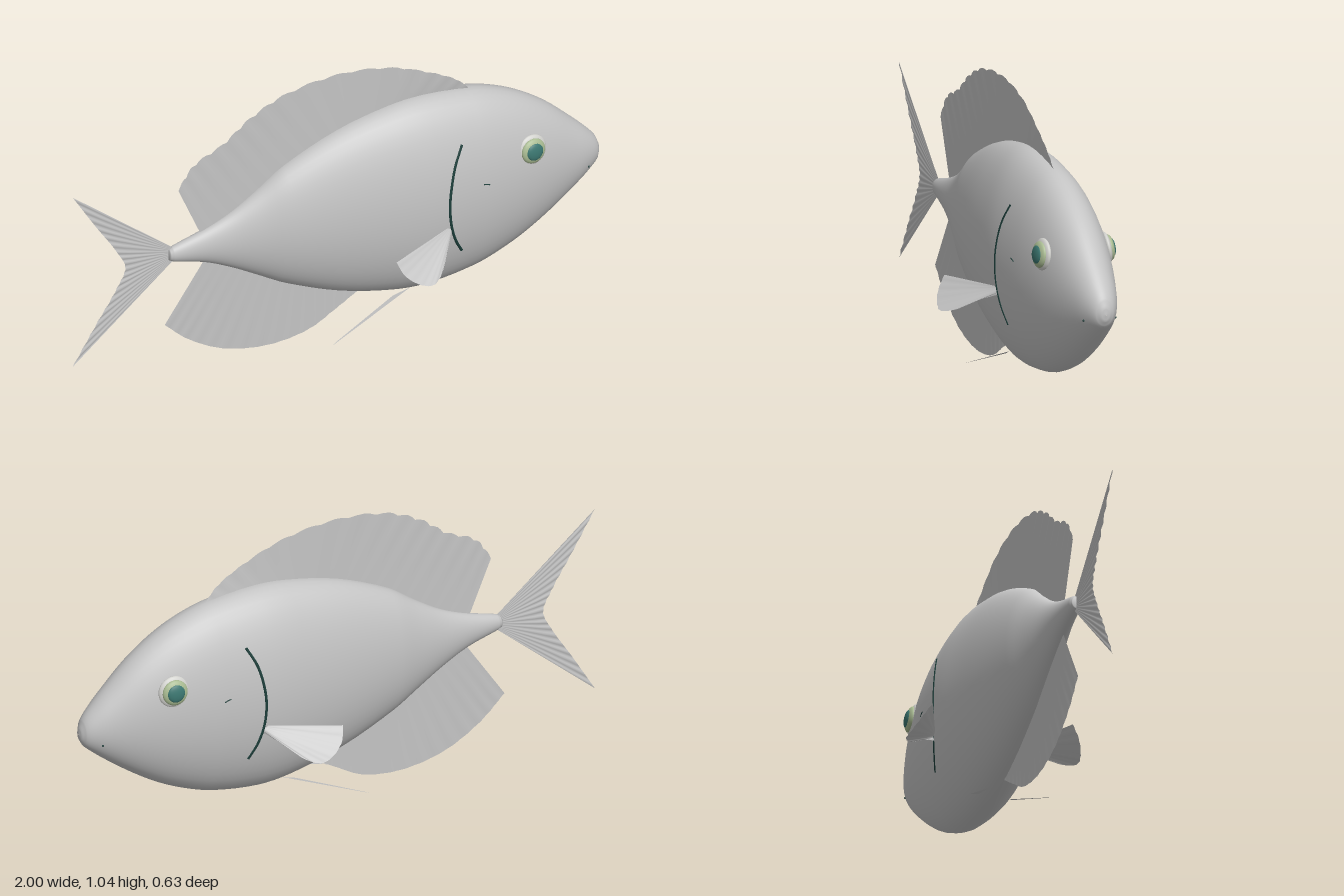
import * as THREE from 'three';

const mat = (name, color, side = THREE.FrontSide) => {
  const m = new THREE.MeshStandardMaterial({ color, side });
  m.name = name;
  return m;
};

// Body stations: x, top y, bottom y, half width
const STATIONS = [
  [-0.635, 0.505, 0.465, 0.015], [-0.62, 0.515, 0.457, 0.022], [-0.5, 0.55, 0.42, 0.036],
  [-0.4, 0.592, 0.37, 0.052], [-0.3, 0.655, 0.31, 0.077], [-0.2, 0.725, 0.25, 0.104],
  [0, 0.812, 0.162, 0.137], [0.2, 0.858, 0.109, 0.158], [0.33, 0.866, 0.098, 0.165],
  [0.5, 0.847, 0.12, 0.157], [0.6, 0.818, 0.153, 0.147], [0.7, 0.77, 0.2, 0.131],
  [0.8, 0.7, 0.263, 0.108], [0.9, 0.605, 0.337, 0.078], [0.95, 0.553, 0.378, 0.058],
  [0.985, 0.51, 0.41, 0.036], [0.997, 0.48, 0.432, 0.017], [1, 0.456, 0.454, 0.001],
];

// Smooth interpolation along x between stations
function section(x) {
  const n = STATIONS.length;
  let i = 0;
  while (i < n - 2 && x > STATIONS[i + 1][0]) i++;
  const a = STATIONS[i], b = STATIONS[i + 1], h = b[0] - a[0], t = (x - a[0]) / h;
  const slope = (j, k) => {
    const p = STATIONS[Math.max(j - 1, 0)], q = STATIONS[Math.min(j + 1, n - 1)];
    return (q[k] - p[k]) / (q[0] - p[0]);
  };
  return [1, 2, 3].map((k) => {
    if (i > n - 4 || i === 0) return a[k] + (b[k] - a[k]) * t;
    const t2 = t * t, t3 = t2 * t;
    return (2 * t3 - 3 * t2 + 1) * a[k] + (t3 - 2 * t2 + t) * h * slope(i, k)
      + (3 * t2 - 2 * t3) * b[k] + (t3 - t2) * h * slope(i + 1, k);
  });
}

// Half width of the body surface at a side point
function surfaceZ(x, y) {
  const [top, bottom, w] = section(x);
  const d = (y - (top + bottom) / 2) / ((top - bottom) / 2);
  return w * Math.sqrt(Math.max(0, 1 - d * d));
}

// Grid of points joined into a smooth surface
function loft(rows) {
  const cols = rows[0].length, pos = [], index = [];
  rows.forEach((row) => row.forEach((p) => pos.push(p[0], p[1], p[2])));
  for (let r = 0; r < rows.length - 1; r++) {
    for (let c = 0; c < cols - 1; c++) {
      const a = r * cols + c, b = a + cols;
      index.push(a, b, a + 1, b, b + 1, a + 1);
    }
  }
  const g = new THREE.BufferGeometry();
  g.setAttribute('position', new THREE.Float32BufferAttribute(pos, 3));
  g.setIndex(index);
  g.computeVertexNormals();
  return g;
}

// Elliptical rings from tail stem to snout; the ring seam runs along the belly
function bodyGeometry() {
  const rows = [], xs = [];
  for (let i = 0; i < STATIONS.length - 1; i++) {
    for (let k = 0; k < 4; k++) xs.push(STATIONS[i][0] + (STATIONS[i + 1][0] - STATIONS[i][0]) * k / 4);
  }
  xs.push(1);
  const first = section(xs[0]);
  rows.push(Array(49).fill([xs[0], (first[0] + first[1]) / 2, 0]));
  for (const x of xs) {
    const [top, bottom, w] = section(x), row = [];
    for (let j = 0; j <= 48; j++) {
      const a = j / 48 * Math.PI * 2;
      row.push([x, (top + bottom) / 2 - Math.cos(a) * (top - bottom) / 2, Math.sin(a) * w]);
    }
    rows.push(row);
  }
  return loft(rows);
}

const v3 = (p) => new THREE.Vector3(p[0], p[1], p[2] || 0);
const curve = (pts) => new THREE.CatmullRomCurve3(pts.map(v3), false, 'centripetal');

// Thin fin between a base curve and an outer edge, pleated along its rays
function finGeometry(base, edge, { rays = 20, pleat = 0.001, scallop = 0 } = {}) {
  const b = curve(base), e = curve(edge), rows = [];
  const n = rays * 4;
  for (let i = 0; i <= n; i++) {
    const t = i / n, p = b.getPoint(t), q = e.getPoint(t), row = [];
    const wave = Math.sin(t * rays * Math.PI * 2);
    q.lerp(p, scallop * (1 - Math.abs(Math.sin(t * rays * Math.PI))));
    for (let k = 0; k <= 5; k++) {
      const r = p.clone().lerp(q, k / 5);
      row.push([r.x, r.y, r.z + wave * pleat * k / 5]);
    }
    rows.push(row);
  }
  return loft(rows);
}

export function createModel() {
  const group = new THREE.Group();
  const skin = mat('skin grey', 0xc4c4c4);
  const fin = mat('fin grey', 0xc4c4c4, THREE.DoubleSide);
  const eyeRim = mat('eye rim', 0xd0d0cc);
  const iris = mat('iris green', 0xa9bb92);
  const pupil = mat('pupil teal', 0x3b7670);
  const dark = mat('dark teal', 0x1d3f3b);

  const add = (name, geometry, material, parent = group) => {
    const m = new THREE.Mesh(geometry, material);
    m.name = name;
    parent.add(m);
    return m;
  };

  add('body', bodyGeometry(), skin);

  // Fins on the centre line
  add('dorsalFin', finGeometry(
    [[-0.51, 0.53], [-0.3, 0.62], [-0.1, 0.74], [0.1, 0.81], [0.3, 0.84], [0.51, 0.83]],
    [[-0.6, 0.745], [-0.54, 0.83], [-0.43, 0.885], [-0.33, 0.96], [-0.2, 1.02], [0, 1.046],
      [0.2, 1.02, 0.004], [0.36, 0.955, 0.009], [0.46, 0.895, 0.009], [0.515, 0.835, 0.004]],
    { rays: 17, scallop: 0.03 }), fin);
  add('analFin', finGeometry(
    [[-0.49, 0.44], [-0.3, 0.34], [-0.1, 0.23], [0.1, 0.15]],
    [[-0.65, 0.2], [-0.56, 0.115], [-0.42, 0.035], [-0.25, 0.002], [-0.1, 0.022], [0, 0.075], [0.1, 0.135]],
    { rays: 16 }), fin);
  add('tailFin', finGeometry(
    [[-0.61, 0.505], [-0.61, 0.485], [-0.61, 0.465]],
    [[-1, 0.83], [-0.91, 0.68], [-0.835, 0.56], [-0.8, 0.48], [-0.835, 0.4], [-0.91, 0.28], [-1, 0.13]],
    { rays: 18, pleat: 0.002 }), fin);

  // Paired parts
  for (const s of [1, -1]) {
    const side = s > 0 ? 'right' : 'left';
    const mirror = (pts) => pts.map(([x, y, z]) => [x, y, z * s]);

    add(side + 'PectoralFin', finGeometry(
      mirror([[0.365, 0.405, 0.155], [0.37, 0.395, 0.155], [0.37, 0.38, 0.155]]),
      mirror([[0.11, 0.39, 0.255], [0.13, 0.345, 0.285], [0.18, 0.308, 0.308], [0.225, 0.298, 0.312],
        [0.275, 0.312, 0.275], [0.32, 0.35, 0.215], [0.365, 0.375, 0.16]]),
      { rays: 10 }), fin);
    add(side + 'PelvicFin', finGeometry(
      mirror([[0.25, 0.135, 0.072], [0.22, 0.123, 0.066], [0.19, 0.111, 0.06]]),
      mirror([[-0.065, 0.014, 0.116], [-0.06, 0.016, 0.114], [-0.05, 0.02, 0.11]]),
      { rays: 4, pleat: 0 }), fin);

    // Gill slit and cheek mark lie almost flush with the flank
    const onSide = (pts, lift) => curve(pts.map(([x, y]) => [x, y, s * (surfaceZ(x, y) + lift)]));
    add(side + 'GillSlit', new THREE.TubeGeometry(onSide([[0.42, 0.71], [0.385, 0.64], [0.365, 0.56],
      [0.358, 0.49], [0.365, 0.41], [0.385, 0.34], [0.415, 0.28]], -0.003), 48, 0.006, 8), dark);
    add(side + 'CheekMark', new THREE.TubeGeometry(onSide([[0.49, 0.54], [0.503, 0.537], [0.515, 0.532]], 0),
      6, 0.002, 6), dark);
    const nostril = add(side + 'Nostril', new THREE.SphereGeometry(0.004, 10, 8), dark);
    nostril.position.set(0.937, 0.425, s * surfaceZ(0.937, 0.425));

    // Eye: flattened domes stacked outward
    const eye = new THREE.Group();
    eye.name = side + 'Eye';
    eye.position.set(0.692, 0.602, s * 0.116);
    eye.rotation.set(-s * 0.12, s * 0.1, 0);
    group.add(eye);
    const dome = (name, radius, depth, z, material) => {
      const m = add(name, new THREE.SphereGeometry(radius, 32, 16), material, eye);
      m.scale.z = depth / radius;
      m.position.z = s * z;
    };
    dome('eyeRim', 0.057, 0.018, 0, eyeRim);
    dome('iris', 0.046, 0.018, 0.011, iris);
    dome('pupil', 0.032, 0.011, 0.022, pupil);
  }
  return group;
}
